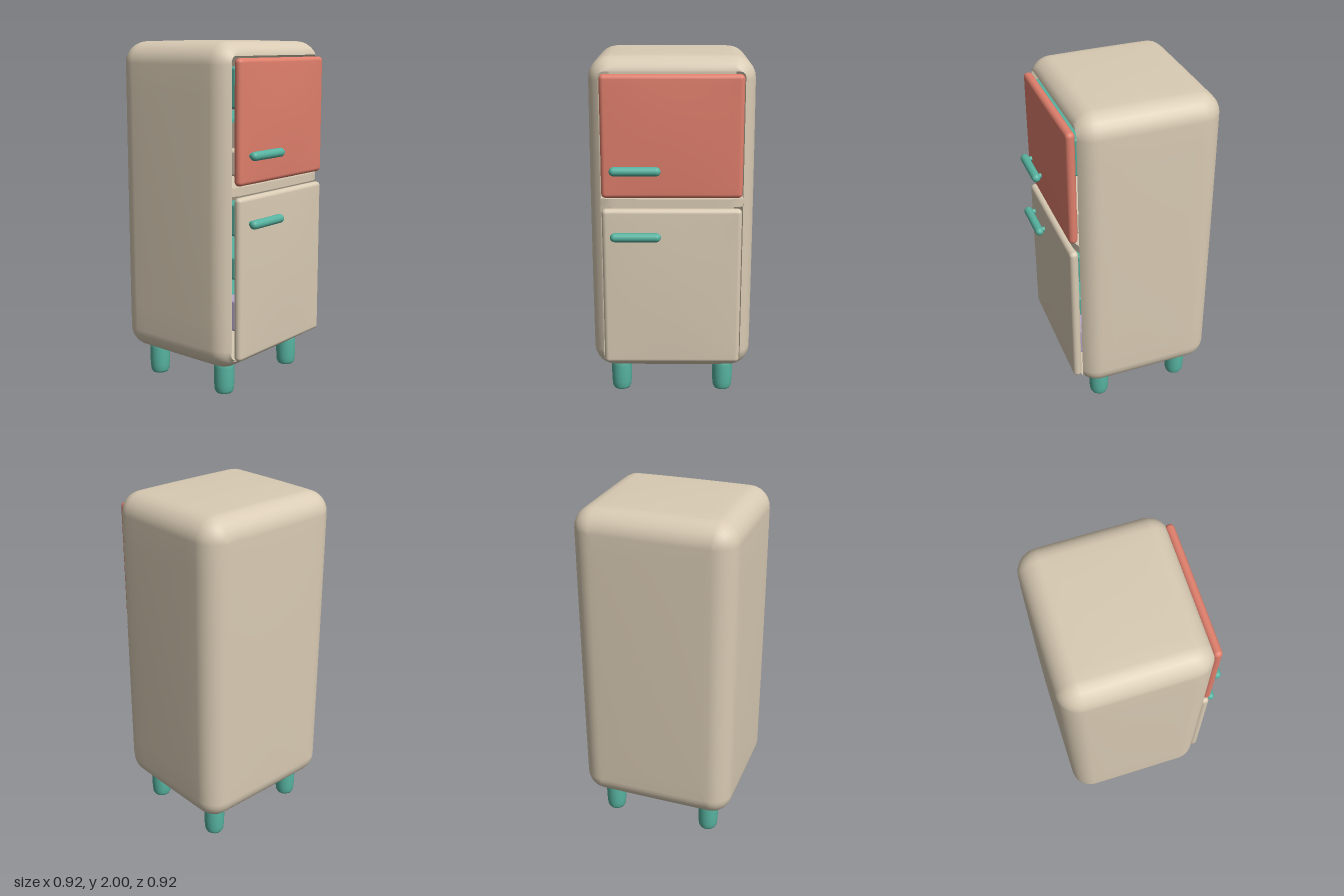
import * as THREE from 'three';
import { toCreasedNormals } from 'three/addons/utils/BufferGeometryUtils.js';
import { RoundedBoxGeometry } from 'three/addons/geometries/RoundedBoxGeometry.js';

const paint = (color) => new THREE.MeshStandardMaterial({ color });
const CREAM = paint(0xd9cbb4);
const CORAL = paint(0xe07f6c);
const TEAL = paint(0x57b3a0);
const LILAC = paint(0xb9a9cc);

// Cabinet half sizes, edge radius and bulge
const BODY = { hx: 0.455, hy: 0.905, hz: 0.4075, R: 0.12, bulge: [0.006, 0.01, 0.007] };
const BODY_Y = 1.085, BODY_Z = -0.0475;

function add(parent, name, geometry, material, x = 0, y = 0, z = 0) {
  const mesh = new THREE.Mesh(geometry, material);
  mesh.name = name;
  mesh.position.set(x, y, z);
  parent.add(mesh);
  return mesh;
}

// Rounded rectangle: core half sizes grown by radius r, counter-clockwise
function ringPoints({ w, h, r, z, dy = 0 }) {
  const C = 6, S = 10, pts = [], corners = [[1, 1], [-1, 1], [-1, -1], [1, -1]];
  corners.forEach(([sx, sy], k) => {
    for (let i = 0; i <= C; i++) {
      const a = (k + i / C) * Math.PI / 2;
      pts.push(new THREE.Vector3(sx * w + r * Math.cos(a), dy + sy * h + r * Math.sin(a), z));
    }
    const [nx, ny] = corners[(k + 1) % 4], a = (k + 1) * Math.PI / 2;
    const end = new THREE.Vector3(nx * w + r * Math.cos(a), dy + ny * h + r * Math.sin(a), z);
    const start = pts[pts.length - 1];
    for (let i = 1; i < S; i++) pts.push(start.clone().lerp(end, i / S));
  });
  return pts;
}

// Push each side gently outward, most at its middle
function swell(p, { hx, hy, hz, bulge }) {
  const n = [p.x / hx, p.y / hy, p.z / hz].map((v) => THREE.MathUtils.clamp(v, -1, 1));
  const f = n.map((v) => 1 - v * v);
  p.x += bulge[0] * n[0] ** 3 * f[1] * f[2];
  p.y += bulge[1] * n[1] ** 3 * f[0] * f[2];
  p.z += bulge[2] * n[2] ** 3 * f[0] * f[1];
  return p;
}

// Skin a list of rings
function loft(rings, box) {
  const pos = [], index = [];
  let n = 0;
  for (const ring of rings) {
    const pts = ringPoints(ring);
    n = pts.length;
    for (const p of pts) pos.push(...swell(p, box).toArray());
  }
  for (let j = 0; j < rings.length - 1; j++) {
    for (let i = 0; i < n; i++) {
      const a = j * n + i, b = j * n + (i + 1) % n;
      index.push(a, b, b + n, a, b + n, a + n);
    }
  }
  const g = new THREE.BufferGeometry();
  g.setAttribute('position', new THREE.Float32BufferAttribute(pos, 3));
  g.setIndex(index);
  g.computeVertexNormals();
  return g;
}

// Rings of a rounded box, from the middle of its back to the middle of its front
function boxRings({ hx, hy, hz, R }) {
  const N = 8, w = hx - R, h = hy - R, rings = [];
  const cap = (s, z) => rings.push({ w: w * s, h: h * s, r: 0, z });
  for (let i = 0; i < N; i++) cap(i / N, -hz);
  for (let i = 0; i <= N; i++) {
    const a = i / N * Math.PI / 2;
    rings.push({ w, h, r: R * Math.sin(a), z: -hz + R - R * Math.cos(a) });
  }
  const side = hz - R;
  for (let i = 1; i < N; i++) if (side > 0.01) rings.push({ w, h, r: R, z: side * (2 * i / N - 1) });
  for (let i = 0; i <= N; i++) {
    const a = i / N * Math.PI / 2;
    rings.push({ w, h, r: R * Math.cos(a), z: side + R * Math.sin(a) });
  }
  for (let i = N - 1; i >= 0; i--) cap(i / N, hz);
  return rings;
}

// Hollow cabinet: the front ends at the door opening, the liner goes on inward
function addCabinet(root) {
  const { hx, hz, R } = BODY;
  const frontZ = (x) => hz - R + Math.sqrt(R * R - Math.max(0, Math.abs(x) - hx + R) ** 2);
  const rings = boxRings(BODY).filter((q) => q.z < 0 || q.r > 0.066);
  const mouth = { w: 0.365, h: 0.81, r: 0.03, z: frontZ(0.395), dy: -0.01 };
  add(root, 'cabinet', loft([...rings, mouth], BODY), CREAM, 0, BODY_Y, BODY_Z);

  const back = { ...mouth, z: -0.35 };
  const liner = [mouth, { ...mouth, z: 0.1 }, back, { ...back, w: 0, h: 0, r: 0 }];
  add(root, 'liner', toCreasedNormals(loft(liner, BODY), 0.6), CREAM, 0, BODY_Y, BODY_Z);

  // Divider between the compartments, its front following the cabinet's curve
  const bar = new THREE.BoxGeometry(0.79, 0.046, 0.7, 24, 1, 1);
  const p = bar.attributes.position;
  for (let i = 0; i < p.count; i++) {
    const x = p.getX(i);
    if (p.getZ(i) > 0) p.setZ(i, frontZ(x) + 0.006 * (1 - (x / hx) ** 2));
  }
  bar.computeVertexNormals();
  add(root, 'divider', bar, CREAM, 0, 1.197, BODY_Z);

  for (const y of [0.5, 0.72, 0.94, 1.55]) {
    add(root, 'shelf', new THREE.BoxGeometry(0.77, 0.02, 0.52), TEAL, 0, y, -0.12);
  }
}

function addHandle(parent, y) {
  const handle = new THREE.Group();
  handle.name = 'handle';
  handle.position.set(-0.2, y, 0.435);
  const bar = new THREE.CapsuleGeometry(0.025, 0.23, 8, 20).rotateZ(Math.PI / 2);
  add(handle, 'handleBar', bar, TEAL);
  for (const x of [-0.1, 0.1]) {
    const post = new THREE.CylinderGeometry(0.014, 0.014, 0.06, 16).rotateX(Math.PI / 2);
    add(handle, 'handlePost', post, TEAL, x, 0, -0.03);
  }
  parent.add(handle);
}

// Slightly domed door with a handle in front and racks behind: [y, height, material]
function addDoor(root, name, y0, y1, material, handleY, racks) {
  const door = new THREE.Group();
  door.name = name;
  const box = { hx: 0.388, hy: (y1 - y0) / 2, hz: 0.025, R: 0.024, bulge: [0, 0, 0.009] };
  add(door, name + 'Panel', loft(boxRings(box), box), material, 0, (y0 + y1) / 2, 0.37);
  addHandle(door, handleY);
  for (const [y, height, rackMaterial] of racks) {
    add(door, 'doorRack', new RoundedBoxGeometry(0.74, height, 0.1, 3, 0.015), rackMaterial, 0, y, 0.3);
  }
  root.add(door);
}

function addLegs(root) {
  const profile = [[0, 0], [0.035, 0], [0.048, 0.006], [0.055, 0.02], [0.058, 0.05],
    [0.06, 0.1], [0.059, 0.16], [0.057, 0.22], [0, 0.22]].map(([r, y]) => new THREE.Vector2(r, y));
  for (const x of [-0.302, 0.302]) {
    for (const z of [0.212, -0.3]) {
      add(root, 'leg', new THREE.LatheGeometry(profile, 28), TEAL, x, 0, z);
    }
  }
}

export function createModel() {
  const root = new THREE.Group();
  root.name = 'refrigerator';
  addCabinet(root);
  addDoor(root, 'freezerDoor', 1.23, 1.905, CORAL, 1.392, [[1.75, 0.22, TEAL], [1.35, 0.14, CREAM]]);
  addDoor(root, 'fridgeDoor', 0.245, 1.167, CREAM, 1.02,
    [[1.04, 0.18, TEAL], [0.77, 0.13, TEAL], [0.5, 0.18, LILAC]]);
  addLegs(root);
  return root;
}
